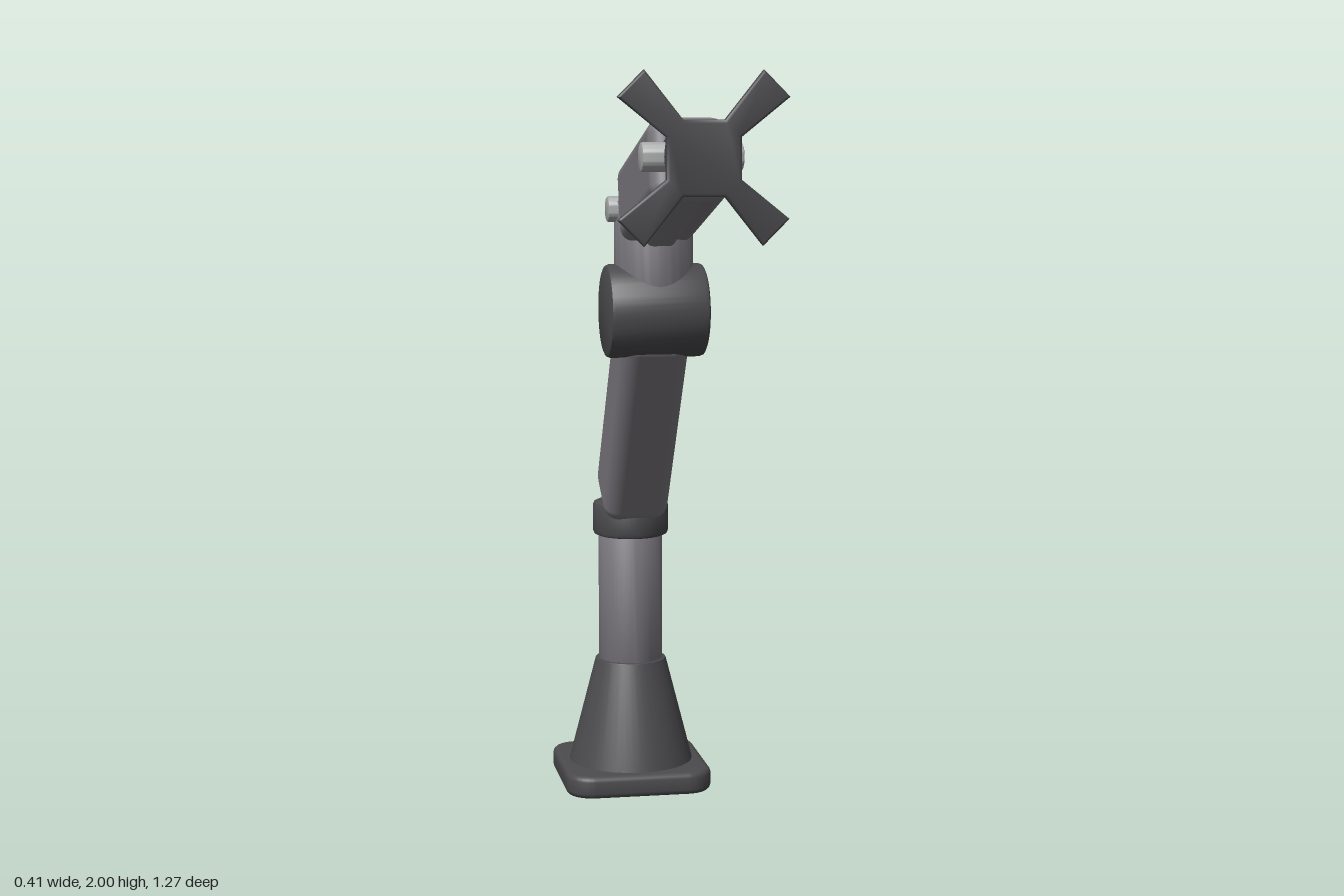
import * as THREE from 'three';
import { toCreasedNormals } from 'three/addons/utils/BufferGeometryUtils.js';
import { RoundedBoxGeometry } from 'three/addons/geometries/RoundedBoxGeometry.js';

const material = (name, color) => {
  const m = new THREE.MeshStandardMaterial({ color });
  m.name = name;
  return m;
};

// Turned part standing on y = 0, with softened rims.
function turned(rBottom, rTop, height, bevel) {
  const b = bevel, k = b * 0.3;
  const profile = [
    [0, 0], [rBottom - b, 0], [rBottom - k, k], [rBottom, b],
    [rTop, height - b], [rTop - k, height - k], [rTop - b, height], [0, height],
  ].map(([x, y]) => new THREE.Vector2(x, y));
  return toCreasedNormals(new THREE.LatheGeometry(profile, 48), 0.6);
}

// Extrusion along +z with rounded rims; outline offset keeps the overall size.
function plate(shape, depth, bevel) {
  const geo = new THREE.ExtrudeGeometry(shape, {
    depth: depth - 2 * bevel, bevelEnabled: true, bevelThickness: bevel,
    bevelSize: bevel, bevelOffset: -bevel, bevelSegments: 3, curveSegments: 10,
  });
  geo.translate(0, 0, bevel);
  return toCreasedNormals(geo, 0.7);
}

function roundedSquare(half, r) {
  const s = new THREE.Shape(), c = half - r;
  s.absarc(c, c, r, 0, Math.PI / 2);
  s.absarc(-c, c, r, Math.PI / 2, Math.PI);
  s.absarc(-c, -c, r, Math.PI, Math.PI * 1.5);
  s.absarc(c, -c, r, Math.PI * 1.5, Math.PI * 2);
  s.closePath();
  return s;
}

export function createModel() {
  const dark = material('charcoal', 0x4b4a4d);
  const grey = material('warm grey', 0x7c797f);
  const light = material('light grey', 0xa6a7a7);
  const group = new THREE.Group();

  function add(name, geo, mat, y, z, rx = 0, rz = 0) {
    const mesh = new THREE.Mesh(geo, mat);
    mesh.name = name;
    mesh.position.set(0, y, z);
    mesh.rotation.set(rx, 0, rz);
    group.add(mesh);
    return mesh;
  }
  // Turned part lying across the model, centred on x = 0.
  const across = (name, r, length, bevel, mat, y, z) => {
    const geo = turned(r, r, length, bevel).translate(0, -length / 2, 0);
    return add(name, geo, mat, y, z, 0, Math.PI / 2);
  };

  // Foot and column
  const postZ = -0.43;
  add('basePlate', plate(roundedSquare(0.205, 0.075), 0.063, 0.015), dark, 0, postZ, -Math.PI / 2).position.y = 0.003;
  add('baseCone', turned(0.175, 0.1, 0.3, 0.004), dark, 0.06, postZ);
  add('column', turned(0.09, 0.09, 0.4, 0.004), grey, 0.34, postZ);
  add('collar', turned(0.106, 0.106, 0.095, 0.012), dark, 0.715, postZ);

  // Lower arm and elbow
  add('lowerArm', new RoundedBoxGeometry(0.18, 0.65, 0.206, 5, 0.045), grey, 1.082, -0.242, 0.578);
  across('elbow', 0.123, 0.262, 0.012, dark, 1.38, -0.05);
  add('elbowPost', turned(0.104, 0.104, 0.29, 0.004), grey, 1.38, -0.053);
  across('rearPin', 0.034, 0.25, 0.006, light, 1.647, -0.053);

  // Upper arm with a narrow cover underneath
  add('upperArm', new RoundedBoxGeometry(0.198, 0.208, 0.53, 5, 0.04), grey, 1.727, 0.207, -0.275);
  add('lowerCover', new RoundedBoxGeometry(0.08, 0.08, 0.43, 4, 0.02), grey, 1.657, 0.235, -0.325);
  across('frontPin', 0.036, 0.25, 0.006, light, 1.797, 0.467);

  // Head mount
  const headY = 1.798;
  add('neck', turned(0.075, 0.07, 0.18, 0.006), dark, headY, 0.42, Math.PI / 2);
  add('flange', plate(roundedSquare(0.079, 0.035), 0.036, 0.012), light, headY, 0.577);

  // Cross-shaped mounting plate: four flared arms around a small hub
  const cross = new THREE.Shape();
  const arm = [[0.09, 0.05], [0.206, 0.143], [0.143, 0.206], [0.05, 0.09]];
  const outline = [];
  for (let i = 0; i < 4; i++) {
    const c = Math.round(Math.cos(i * Math.PI / 2)), s = Math.round(Math.sin(i * Math.PI / 2));
    for (const [x, y] of arm) outline.push(new THREE.Vector2(x * c - y * s, x * s + y * c));
  }
  cross.setFromPoints(outline);
  add('mountingCross', plate(cross, 0.024, 0.006), dark, headY, 0.611);

  return group;
}
